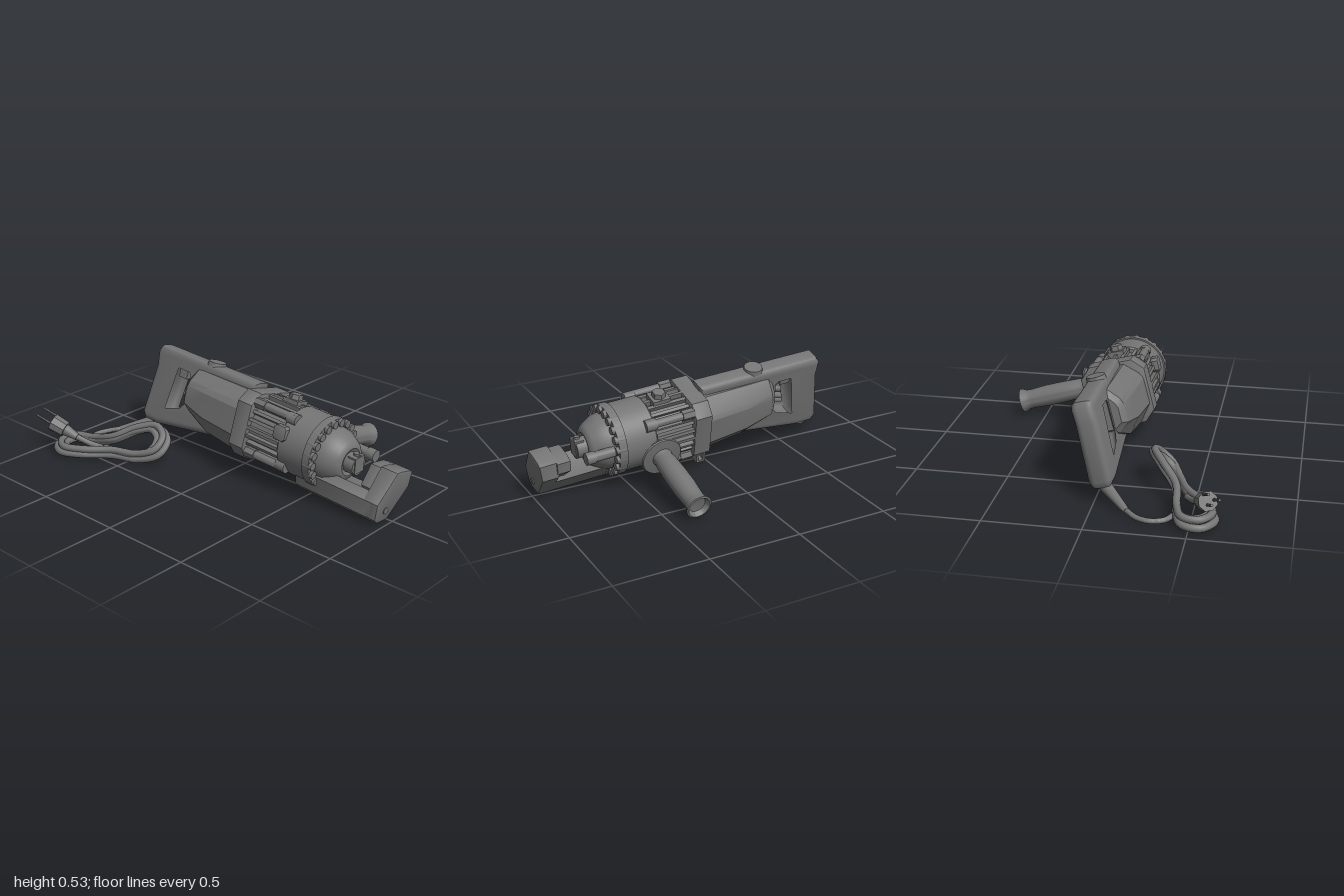
import * as THREE from 'three';
import { toCreasedNormals } from 'three/addons/utils/BufferGeometryUtils.js';

const material = new THREE.MeshStandardMaterial({ color: 0x757575, side: THREE.DoubleSide });
const V = (p) => new THREE.Vector3(...p);

function add(parent, name, geometry, x = 0, y = 0, z = 0, crease = 0.6) {
  const mesh = new THREE.Mesh(toCreasedNormals(geometry, crease), material);
  mesh.name = name;
  mesh.position.set(x, y, z);
  parent.add(mesh);
  return mesh;
}

const shapeOf = (pts) => new THREE.Shape(pts.map((p) => new THREE.Vector2(...p)));

// Prism along x from a (z, y) outline, with a small bevel
function prism(pts, length, bevel = 0, steps = 1) {
  const g = new THREE.ExtrudeGeometry(shapeOf(pts.map(([z, y]) => [-z, y])), {
    depth: length - 2 * bevel, steps, bevelEnabled: bevel > 0,
    bevelSize: bevel, bevelThickness: bevel, bevelOffset: -bevel, bevelSegments: 2,
  });
  return g.translate(0, 0, bevel).rotateY(Math.PI / 2);
}

// Solid of revolution about x from [x, radius] points
const turnedX = (pts, n = 48) =>
  new THREE.LatheGeometry(pts.map(([x, r]) => new THREE.Vector2(r, x)), n).rotateZ(-Math.PI / 2);
const rodX = (r, l, n = 20) => new THREE.CylinderGeometry(r, r, l, n).rotateZ(-Math.PI / 2);

// Straight or tapered rod between two points
function rodBetween(parent, name, a, b, r0, r1, n = 16) {
  const d = V(b).sub(V(a));
  const m = add(parent, name, new THREE.CylinderGeometry(r1, r0, d.length(), n));
  m.position.copy(V(a)).addScaledVector(d, 0.5);
  m.quaternion.setFromUnitVectors(new THREE.Vector3(0, 1, 0), d.normalize());
}

const chamferedSquare = (h, c) => [[h, h - c], [h - c, h], [c - h, h], [-h, h - c],
  [-h, c - h], [c - h, -h], [h - c, -h], [h, c - h]];

function buildRear(body) {
  // D-shaped rear handle with its hand opening, rounded for the grip
  const frame = shapeOf([[-0.68, 0.195], [0.05, 0.203], [0.05, -0.165], [-0.2, -0.175], [-0.6, -0.245],
    [-0.7, -0.245], [-0.725, -0.21], [-0.69, 0.08], [-0.7, 0.165]]);
  frame.holes.push(new THREE.Path([[-0.545, 0.125], [-0.525, 0.145], [-0.42, 0.145], [-0.39, 0.12],
    [-0.39, -0.08], [-0.43, -0.13], [-0.565, -0.175], [-0.585, -0.145]].map((p) => new THREE.Vector2(...p))));
  const g = new THREE.ExtrudeGeometry(frame, {
    depth: 0.05, bevelSize: 0.035, bevelThickness: 0.034, bevelOffset: -0.03, bevelSegments: 5,
  });
  add(body, 'rearHandle', g.translate(0, 0, -0.025), 0, 0, 0, 0.8);
  add(body, 'trigger', new THREE.BoxGeometry(0.06, 0.09, 0.05), -0.5, 0.105, 0);
  add(body, 'handleDisc', new THREE.CylinderGeometry(0.05, 0.054, 0.025, 32), -0.295, 0.206, 0);

  // Motor housing: faceted section tapering to the rear, [x, half width, top, bottom]
  const rings = [[-0.395, 0.1, 0.13, -0.06], [-0.365, 0.126, 0.155, -0.09], [-0.2, 0.148, 0.16, -0.155],
    [0.05, 0.165, 0.165, -0.178]];
  const motor = prism([[1, -0.45], [1, 0.4], [0.9, 0.6], [0.45, 1], [-0.45, 1], [-0.9, 0.6],
    [-1, 0.4], [-1, -0.45], [-0.55, -1], [0.55, -1]], 3, 0, 3);
  const p = motor.attributes.position;
  for (let i = 0; i < p.count; i++) {
    const [x, w, top, bottom] = rings[Math.round(p.getX(i))];
    const y = p.getY(i);
    p.setXYZ(i, x, y > 0 ? y * top : -y * bottom, p.getZ(i) * w);
  }
  add(body, 'motorHousing', motor, 0, 0, 0, 0.4);
}

function buildHead(body) {
  // Square collar and finned gear section
  add(body, 'collar', prism(chamferedSquare(0.182, 0.062), 0.1, 0.008), 0.045, 0, 0);
  add(body, 'gearCore', rodX(0.155, 0.26, 48), 0.27, 0, 0);
  for (let i = 0; i < 24; i++) {
    const a = (i / 24) * Math.PI * 2;
    const fin = add(body, 'coolingFin', new THREE.BoxGeometry(0.24, 0.035, 0.018),
      0.26, Math.cos(a) * 0.163, Math.sin(a) * 0.163);
    fin.rotation.x = a;
  }
  for (const sy of [-1, 1]) for (const sz of [-1, 1]) {
    add(body, 'tieBolt', rodX(0.022, 0.26), 0.27, sy * 0.136, sz * 0.136);
    add(body, 'tieBoltHead', rodX(0.03, 0.07, 6), 0.175, sy * 0.136, sz * 0.136);
    add(body, 'tieLug', rodX(0.033, 0.06), 0.39, sy * 0.128, sz * 0.128);
  }

  // Cylinder head with flange and tapered nose
  add(body, 'cylinderHead', turnedX([[0.36, 0], [0.36, 0.175], [0.37, 0.185], [0.54, 0.185],
    [0.54, 0.193], [0.585, 0.193], [0.585, 0.152], [0.625, 0.147], [0.66, 0.128], [0.69, 0.11],
    [0.705, 0.095], [0.71, 0.075], [0.7, 0.06], [0.7, 0]], 64));
  for (let i = 0; i < 20; i++) {
    const a = (i / 20) * Math.PI * 2;
    add(body, 'flangeBolt', rodX(0.021, 0.06), 0.572, Math.cos(a) * 0.173, Math.sin(a) * 0.173);
  }

  // Oil plug on top and side boss
  add(body, 'oilPlugSeat', new THREE.BoxGeometry(0.1, 0.05, 0.09), 0.28, 0.172, 0);
  add(body, 'oilPlug', new THREE.CylinderGeometry(0.035, 0.04, 0.04, 6), 0.28, 0.204, 0);
  add(body, 'sideBoss', prism(chamferedSquare(0.04, 0.014), 0.04, 0.005).rotateY(-Math.PI / 2),
    0.37, 0.05, 0.16);

  // Wire hook under the collar
  for (const x of [0.05, 0.09]) add(body, 'hookLeg', new THREE.BoxGeometry(0.012, 0.08, 0.05), x, -0.185, -0.108);
  add(body, 'hookBar', new THREE.BoxGeometry(0.052, 0.014, 0.05), 0.07, -0.222, -0.108);
}

function buildSideHandle(body) {
  // Turned grip with guard disc and hollow flared end, pointing to the back
  const profile = [[0.02, 0.15], [0.055, 0.16], [0.055, 0.195], [0.036, 0.205], [0.04, 0.222], [0.108, 0.228],
    [0.113, 0.234], [0.108, 0.24], [0.055, 0.244], [0.05, 0.26], [0.056, 0.285], [0.06, 0.39], [0.061, 0.49],
    [0.055, 0.585], [0.057, 0.615], [0.068, 0.638], [0.069, 0.647], [0.06, 0.65], [0.045, 0.625], [0, 0.62]];
  const g = new THREE.LatheGeometry(profile.map(([r, y]) => new THREE.Vector2(r, y)), 40);
  add(body, 'sideHandle', g.rotateX(-Math.PI / 2), 0.37, 0, 0, 0.7).rotation.x = -0.025;
}

function buildJaw(tool) {
  // Lower bed, then the hook that closes its end, raked at the tip
  const corner = [[0.135, -0.085], [0.135, -0.175], [0.105, -0.205], [0.02, -0.21]];
  add(tool, 'jawBed', prism([[0.09, -0.05], ...corner, [-0.07, -0.12], [-0.02, -0.115], [0.05, -0.08]],
    0.5, 0.01), 0.46, 0, 0);
  const hook = prism([[0.01, 0.055], ...corner, [-0.125, -0.07], [-0.13, 0.015], [-0.11, 0.03], [-0.02, 0.055]],
    0.1, 0.008);
  const p = hook.attributes.position;
  for (let i = 0; i < p.count; i++) {
    if (p.getX(i) > 0.05) p.setX(i, p.getX(i) + 0.1 * p.getY(i));
  }
  add(tool, 'jawHook', hook, 0.9, 0, 0);
  add(tool, 'fixedCutter', prism([[0.005, 0.045], [0.075, -0.05], [0.02, -0.15], [-0.13, -0.05],
    [-0.14, 0.01], [-0.1, 0.03], [-0.02, 0.045]], 0.075, 0.006), 0.835, 0, 0);
  add(tool, 'jawPin', rodX(0.018, 0.01), 0.986, -0.145, 0.055);

  // Moving piston with its cutter, and the adjusting rod beside it
  add(tool, 'piston', rodX(0.055, 0.08, 32), 0.72, 0, 0);
  add(tool, 'movingCutter', new THREE.BoxGeometry(0.05, 0.09, 0.075), 0.74, 0.005, 0);
  add(tool, 'cutterScrew', new THREE.CylinderGeometry(0.016, 0.016, 0.02, 12), 0.74, 0.055, 0);
  add(tool, 'adjustingRod', rodX(0.028, 0.16), 0.67, 0, -0.15);
  add(tool, 'adjustingCap', rodX(0.033, 0.05), 0.735, 0, -0.15);
}

function buildCord(group) {
  // Lead from the handle foot to the coiled bundle
  rodBetween(group, 'strainRelief', [-0.67, 0.08, 0.05], [-0.82, 0.027, 0.185], 0.034, 0.017);
  const tube = (name, pts, r, closed = false) => add(group, name, new THREE.TubeGeometry(
    new THREE.CatmullRomCurve3(pts.map(V), closed), 90, r, 10, closed), 0, 0, 0, 1.2);
  tube('cordLead', [[-0.81, 0.03, 0.175], [-0.865, 0.02, 0.24], [-0.885, 0.018, 0.31], [-0.86, 0.018, 0.38],
    [-0.78, 0.022, 0.42], [-0.65, 0.04, 0.42]], 0.014);

  // Coil: three strands of one pinched loop, its right end raised
  const loop = [[-0.92, 0.04, 0.47], [-0.8, 0.045, 0.425], [-0.64, 0.09, 0.4], [-0.52, 0.155, 0.31],
    [-0.41, 0.18, 0.25], [-0.335, 0.14, 0.27], [-0.335, 0.075, 0.34], [-0.44, 0.035, 0.4],
    [-0.59, 0.035, 0.46], [-0.73, 0.035, 0.575], [-0.84, 0.035, 0.62], [-0.93, 0.035, 0.56]];
  const c = [-0.63, 0.08, 0.43];
  for (const [s, dy] of [[1, -0.01], [0.92, 0.018], [0.82, 0.002]]) {
    tube('coiledCord', loop.map((p) => p.map((q, k) => c[k] + (q - c[k]) * s + (k === 1 ? dy : 0))), 0.02, true);
  }

  // Plug and prongs
  tube('plugLead', [[-0.66, 0.05, 0.46], [-0.73, 0.07, 0.5], [-0.82, 0.115, 0.55]], 0.016);
  rodBetween(group, 'plugNeck', [-0.79, 0.1, 0.535], [-0.87, 0.14, 0.567], 0.02, 0.036);
  rodBetween(group, 'plugBody', [-0.855, 0.135, 0.562], [-0.925, 0.17, 0.592], 0.046, 0.05, 8);
  for (const [dy, dz] of [[0.03, -0.022], [0.005, 0.03], [-0.025, -0.005]]) {
    rodBetween(group, 'prong', [-0.915, 0.17 + dy, 0.588 + dz], [-0.993, 0.21 + dy, 0.622 + dz], 0.008, 0.007, 8);
  }
}

export function createModel() {
  const model = new THREE.Group();
  model.name = 'hydraulicCutter';
  // The tool leans nose down; its body is also rolled about its own axis
  const tool = new THREE.Group();
  tool.name = 'tool';
  tool.position.set(0.005, 0.28, -0.02);
  tool.rotation.z = -0.068;
  const body = new THREE.Group();
  body.name = 'body';
  body.rotation.x = -0.26;
  tool.add(body);
  model.add(tool);
  buildRear(body);
  buildHead(body);
  buildSideHandle(body);
  buildJaw(tool);
  buildCord(model);
  return model;
}
